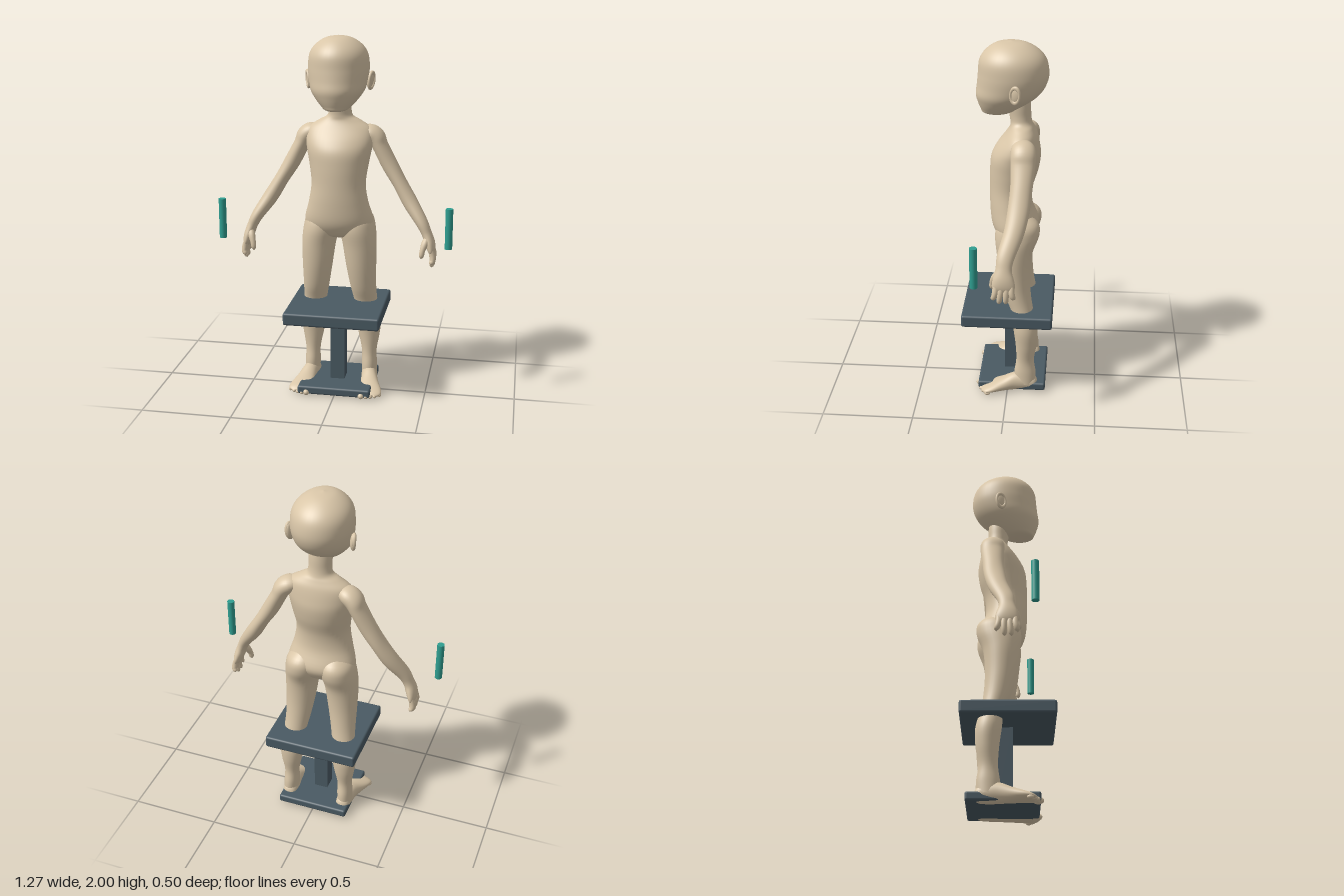
import * as THREE from 'three';
import { RoundedBoxGeometry } from 'three/addons/geometries/RoundedBoxGeometry.js';

const clay = new THREE.MeshStandardMaterial({ color: 0xd9c6a8 });
clay.name = 'clay';
const slate = new THREE.MeshStandardMaterial({ color: 0x4a5a63 });
slate.name = 'slate';
const teal = new THREE.MeshStandardMaterial({ color: 0x2f9e90 });
teal.name = 'teal';

const DOWN = new THREE.Vector3(0, -1, 0);
const FORWARD = new THREE.Vector3(0, 0, 1);
const UP = new THREE.Vector3(0, 1, 0);

// Smooth skin through elliptical sections [x, y, z, side radius, depth radius].
// With no fixed axis the rings turn to follow the path.
function loft(sections, axis = null, ref = FORWARD, steps = 5, sides = 32) {
  const path = new THREE.CatmullRomCurve3(sections.map(s => new THREE.Vector3(s[0], s[1], s[2])), false, 'catmullrom');
  const size = new THREE.CatmullRomCurve3(sections.map(s => new THREE.Vector3(s[3], s[4], 0)), false, 'catmullrom');
  const rings = (sections.length - 1) * steps;
  const pos = [], index = [];
  for (let i = 0; i <= rings; i++) {
    const c = path.getPoint(i / rings), r = size.getPoint(i / rings);
    const t = axis || path.getTangent(i / rings);
    const b = ref.clone().addScaledVector(t, -ref.dot(t)).normalize();
    const a = b.clone().cross(t);
    for (let j = 0; j < sides; j++) {
      const q = j / sides * Math.PI * 2;
      const p = c.clone()
        .addScaledVector(a, Math.cos(q) * Math.max(r.x, 0.0005))
        .addScaledVector(b, Math.sin(q) * Math.max(r.y, 0.0005));
      pos.push(p.x, Math.max(p.y, 0), p.z);
      if (i < rings) {
        const k = i * sides + j, n = i * sides + (j + 1) % sides;
        index.push(k, n, n + sides, k, n + sides, k + sides);
      }
    }
  }
  const g = new THREE.BufferGeometry();
  g.setAttribute('position', new THREE.Float32BufferAttribute(pos, 3));
  g.setIndex(index);
  g.computeVertexNormals();
  return g;
}

function add(parent, name, geometry, material, x = 0, y = 0, z = 0) {
  const m = new THREE.Mesh(geometry, material);
  m.name = name;
  m.position.set(x, y, z);
  parent.add(m);
  return m;
}

const mirror = (sections, s) => sections.map(([x, ...rest]) => [s * x, ...rest]);

const HEAD = [
  [0, 2.0, -0.01, 0, 0], [0, 1.987, -0.01, 0.068, 0.08], [0, 1.95, -0.015, 0.125, 0.14],
  [0, 1.9, -0.018, 0.156, 0.175], [0, 1.83, -0.02, 0.163, 0.185], [0, 1.77, -0.01, 0.157, 0.181],
  [0, 1.72, 0.01, 0.145, 0.167], [0, 1.68, 0.03, 0.12, 0.138], [0, 1.64, 0.053, 0.085, 0.1],
  [0, 1.617, 0.07, 0.055, 0.068], [0, 1.606, 0.075, 0, 0]];
const TORSO = [
  [0, 1.74, -0.035, 0.06, 0.07], [0, 1.66, -0.05, 0.062, 0.062], [0, 1.6, -0.057, 0.062, 0.057],
  [0, 1.565, -0.062, 0.072, 0.058], [0, 1.54, -0.066, 0.115, 0.065], [0, 1.5, -0.063, 0.172, 0.085],
  [0, 1.44, -0.047, 0.184, 0.114], [0, 1.38, -0.035, 0.176, 0.132], [0, 1.3, -0.025, 0.161, 0.13],
  [0, 1.2, -0.01, 0.149, 0.116], [0, 1.1, -0.01, 0.164, 0.115], [0, 1.0, -0.032, 0.19, 0.128],
  [0, 0.94, -0.035, 0.175, 0.105], [0, 0.905, -0.035, 0.1, 0.07], [0, 0.89, -0.035, 0, 0]];
const LEG = [
  [0.085, 1.08, -0.05, 0.02, 0.03], [0.093, 1.02, -0.055, 0.085, 0.105], [0.1, 0.95, -0.048, 0.1, 0.12],
  [0.115, 0.85, -0.035, 0.094, 0.098], [0.124, 0.72, -0.038, 0.083, 0.084], [0.134, 0.6, -0.055, 0.072, 0.073],
  [0.146, 0.5, -0.082, 0.066, 0.062], [0.158, 0.4, -0.1, 0.073, 0.068], [0.162, 0.3, -0.105, 0.06, 0.06],
  [0.164, 0.2, -0.1, 0.042, 0.05], [0.166, 0.12, -0.1, 0.043, 0.06], [0.168, 0.05, -0.1, 0.043, 0.06]];
const FOOT = [
  [0.165, 0.045, -0.173, 0, 0], [0.165, 0.048, -0.155, 0.034, 0.038], [0.166, 0.055, -0.1, 0.044, 0.053],
  [0.174, 0.055, -0.04, 0.045, 0.053], [0.184, 0.043, 0.02, 0.053, 0.04], [0.194, 0.032, 0.08, 0.065, 0.027],
  [0.199, 0.024, 0.12, 0.062, 0.019], [0.2, 0.02, 0.145, 0.035, 0.008]];
const ARM = [
  [0.1, 1.475, -0.075, 0.02, 0.03], [0.15, 1.475, -0.08, 0.045, 0.06], [0.192, 1.45, -0.085, 0.05, 0.066],
  [0.218, 1.4, -0.085, 0.043, 0.064], [0.27, 1.3, -0.08, 0.044, 0.058], [0.33, 1.2, -0.07, 0.039, 0.057],
  [0.39, 1.1, -0.05, 0.041, 0.053], [0.458, 1.0, -0.014, 0.033, 0.046], [0.488, 0.94, -0.005, 0.028, 0.042],
  [0.506, 0.89, -0.004, 0.028, 0.055], [0.516, 0.85, -0.006, 0.021, 0.059], [0.52, 0.82, -0.006, 0.008, 0.042]];

// Fingers: base z, tip z, tip y
const FINGERS = [[0.036, 0.048, 0.775], [0.009, 0.017, 0.755], [-0.02, -0.018, 0.755], [-0.047, -0.058, 0.78]];

function fingerSections([z0, z1, y1]) {
  return [
    [0.515, 0.865, z0, 0.012, 0.014], [0.523, 0.83, z0, 0.016, 0.016],
    [0.526, (0.83 + y1) / 2, (z0 + z1) / 2, 0.0145, 0.015],
    [0.52, y1 + 0.012, z1, 0.012, 0.012], [0.517, y1, z1, 0, 0]];
}

const THUMB = [
  [0.492, 0.925, 0.015, 0.012, 0.014], [0.483, 0.895, 0.037, 0.019, 0.02],
  [0.472, 0.86, 0.053, 0.015, 0.016], [0.467, 0.828, 0.058, 0.013, 0.013], [0.466, 0.812, 0.059, 0, 0]];

function buildLimbs(figure, s) {
  const side = s > 0 ? 'left' : 'right';

  // Arm, palm and digits
  const arm = new THREE.Group();
  arm.name = side + 'Arm';
  figure.add(arm);
  add(arm, 'armAndPalm', loft(mirror(ARM, s)), clay);
  FINGERS.forEach(f => add(arm, 'finger', loft(mirror(fingerSections(f), s), null, FORWARD, 4, 14), clay));
  add(arm, 'thumb', loft(mirror(THUMB, s), null, FORWARD, 4, 14), clay);

  // Leg, foot and toes
  const leg = new THREE.Group();
  leg.name = side + 'Leg';
  figure.add(leg);
  add(leg, 'legShaft', loft(mirror(LEG, s), DOWN), clay);
  add(leg, 'foot', loft(mirror(FOOT, s), FORWARD, UP), clay);
  for (let i = 0; i < 5; i++) {
    const r = i ? 0.014 - i * 0.0007 : 0.019;
    const toe = add(leg, 'toe', new THREE.SphereGeometry(r, 14, 10), clay,
      s * (0.155 + i * 0.0235 + (i ? 0.004 : 0)), r + 0.004, 0.15 - i * i * 0.0025);
    toe.scale.z = 1.6;
  }

  // Ear: a shallow disc with a raised rim
  const ear = new THREE.Group();
  ear.name = side + 'Ear';
  ear.position.set(s * 0.166, 1.762, -0.042);
  ear.rotation.set(-0.15, s * -0.4, s * -0.12);
  figure.add(ear);
  add(ear, 'earBowl', new THREE.SphereGeometry(1, 20, 14), clay).scale.set(0.013, 0.046, 0.03);
  const rim = add(ear, 'earRim', new THREE.TorusGeometry(0.032, 0.009, 10, 28), clay, s * 0.006);
  rim.rotation.y = Math.PI / 2;
  rim.scale.set(0.8, 1.28, 1);
}

export function createModel() {
  const model = new THREE.Group();
  model.name = 'mannequinOnStand';

  // Plain display mannequin
  const figure = new THREE.Group();
  figure.name = 'mannequin';
  model.add(figure);
  add(figure, 'head', loft(HEAD, DOWN, FORWARD, 6, 40), clay);
  add(figure, 'neckAndTorso', loft(TORSO, DOWN, FORWARD, 5, 40), clay);
  for (const s of [1, -1]) buildLimbs(figure, s);

  // Stand
  const stand = new THREE.Group();
  stand.name = 'stand';
  model.add(stand);
  add(stand, 'platform', new RoundedBoxGeometry(0.53, 0.07, 0.5, 3, 0.012), slate, 0, 0.485, 0);
  add(stand, 'post', new THREE.BoxGeometry(0.08, 0.4, 0.08), slate, 0, 0.255, -0.015);
  add(stand, 'basePlate', new RoundedBoxGeometry(0.41, 0.047, 0.38, 3, 0.012), slate, 0, 0.035, -0.025);

  // Free-standing grips on each side
  for (const s of [1, -1]) {
    add(model, s > 0 ? 'leftGrip' : 'rightGrip', new THREE.CylinderGeometry(0.02, 0.02, 0.22, 24), teal, s * 0.617, 1.012, 0.136);
  }
  return model;
}
